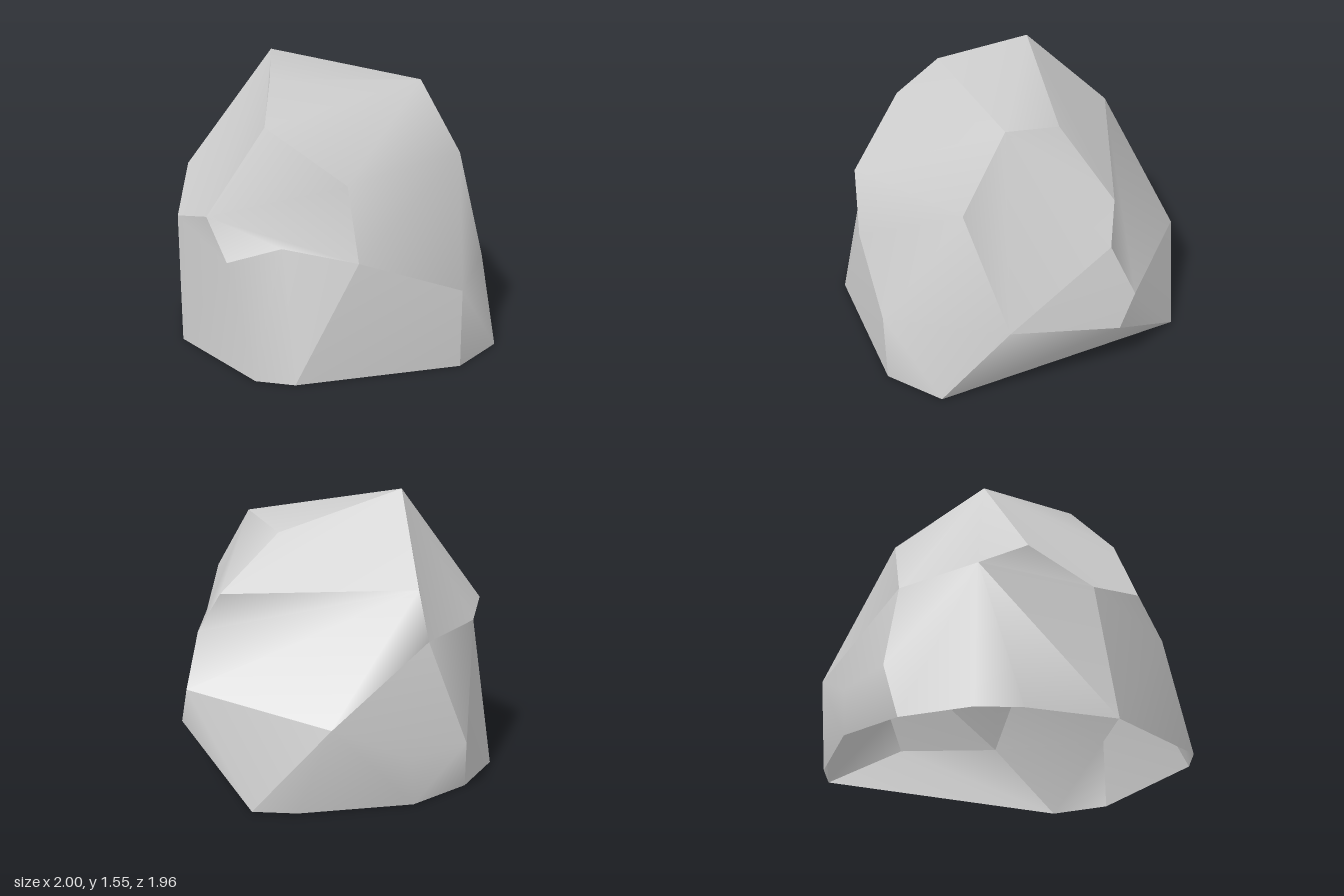
import * as THREE from 'three';
import { mergeGeometries } from 'three/addons/utils/BufferGeometryUtils.js';

// Corner points of the boulder, ring by ring from the ground up
const base = [ // 0 to 10
  [0.16, 0, 0.98], [1, 0, -0.24], [0.88, 0, -0.44], [0.44, 0, -0.85], [0.06, 0, -0.94], [-0.33, 0, -0.89],
  [-0.53, 0, -0.77], [-0.86, 0, -0.42], [-1, 0, 0.26], [-0.91, 0, 0.45], [-0.2, 0, 0.98],
];
const lower = [ // 11 to 19
  [0.44, 0.39, 0.72], [0.9, 0.34, 0.33], [0.94, 0.54, 0.25], [0.81, 0.45, -0.6], [0.46, 0.25, -0.85],
  [0.13, 0.27, -0.98], [-0.95, 0.57, 0.03], [-0.61, 0.6, 0.62], [-0.2, 0.42, 0.98],
];
const upper = [ // 20 to 30
  [0.16, 1.05, 0.72], [0.8, 0.82, 0.29], [0.75, 1.03, 0.17], [0.26, 1.08, -0.75], [0.2, 0.8, -0.78],
  [-0.28, 0.83, -0.78], [-0.52, 0.91, -0.69], [-0.79, 0.69, -0.5], [-0.9, 0.77, -0.16],
  [-0.69, 1.24, 0.07], [-0.64, 1, 0.57],
];
const crown = [ // 31 to 34
  [0.23, 1.41, 0.41], [0.37, 1.32, 0.08], [-0.1, 1.55, -0.41], [-0.49, 1.45, -0.07],
];
const shoulder = [[-0.83, 0.67, 0.3]]; // 35
const points = [...base, ...lower, ...upper, ...crown, ...shoulder].map((p) => new THREE.Vector3(...p));
const centre = new THREE.Vector3(0, 0.55, 0);

// Each facet is one or more fans, each around its first corner; the underside stays open
const facets = [
  // front
  [[31, 34, 29, 30, 20], [20, 30, 18, 19, 11], [19, 10, 0, 11]], [[19, 18, 9, 10]],
  // +x side
  [[31, 20, 11, 21, 22, 32]], [[23, 22, 21, 13, 14, 24]], [[11, 12, 13, 21]], [[0, 1, 12, 11]], [[1, 14, 13, 12]],
  // back
  [[14, 1, 2, 3, 15, 16, 24], [3, 4, 16, 15]], [[25, 24, 16, 4, 5, 6], [25, 6, 7]], [[25, 7, 27, 26]],
  [[33, 23, 24, 25, 26]],
  // -x side
  [[33, 26, 27, 28, 29, 34]], [[28, 17, 35, 18, 30, 29]], [[17, 28, 27, 7, 8], [35, 18, 9, 8, 17]],
  // top
  [[33, 34, 31, 32]], [[33, 32, 22, 23]],
];

// One gently curved facet: smooth inside, sharp at its rim
function facetGeometry(fans) {
  const ids = [...new Set(fans.flat())];
  const tri = new THREE.Triangle();
  const normal = new THREE.Vector3();
  const mid = new THREE.Vector3();
  const index = [];
  for (const fan of fans) {
    for (let i = 1; i < fan.length - 1; i++) {
      const [a, b, c] = [fan[0], fan[i], fan[i + 1]];
      // turn every triangle to face away from the centre
      tri.set(points[a], points[b], points[c]);
      tri.getNormal(normal);
      tri.getMidpoint(mid).sub(centre);
      const outward = normal.dot(mid) > 0 ? [a, b, c] : [a, c, b];
      index.push(...outward.map((n) => ids.indexOf(n)));
    }
  }
  const geometry = new THREE.BufferGeometry().setFromPoints(ids.map((n) => points[n]));
  geometry.setIndex(index);
  geometry.computeVertexNormals();
  return geometry;
}

export function createModel() {
  const group = new THREE.Group();
  group.name = 'boulder';

  const rock = new THREE.Mesh(
    mergeGeometries(facets.map(facetGeometry)),
    new THREE.MeshStandardMaterial({ color: 0xcccccc, side: THREE.DoubleSide }),
  );
  rock.name = 'rock';
  group.add(rock);
  return group;
}
